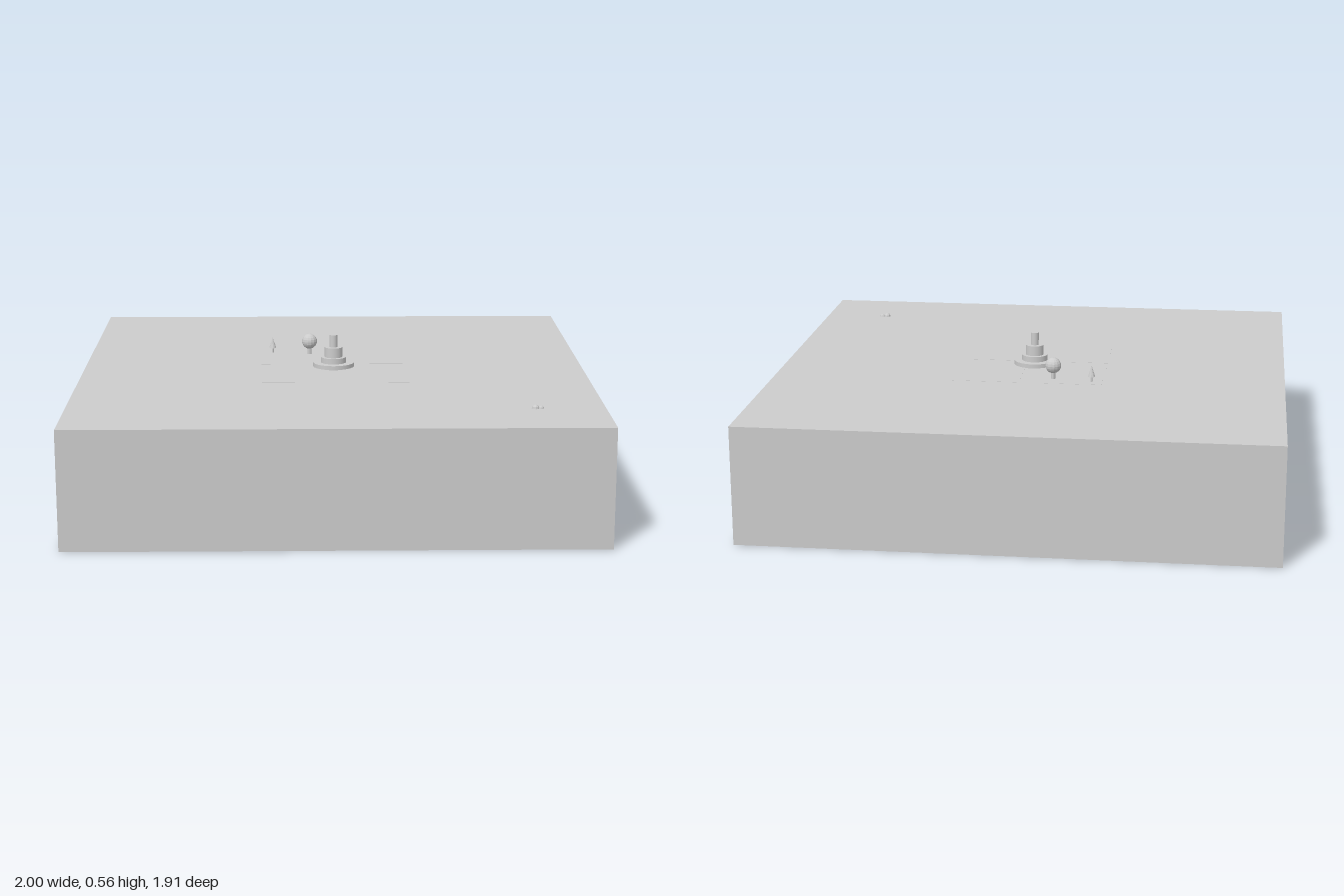
import * as THREE from 'three';

const CX = -0.045; // centre of the ground block
const TOP = 0.433; // ground level

export function createModel() {
  const root = new THREE.Group();
  const flat = new THREE.MeshStandardMaterial({ color: 0xcccccc, flatShading: true });
  const smooth = new THREE.MeshStandardMaterial({ color: 0xcccccc });

  const add = (name, geometry, x, y, z, material = flat, parent = root) => {
    const mesh = new THREE.Mesh(geometry, material);
    mesh.name = name;
    mesh.position.set(x, y, z);
    parent.add(mesh);
    return mesh;
  };

  // Ground block
  add('groundBlock', new THREE.BoxGeometry(1.91, TOP, 1.91), CX, TOP / 2, 0);

  // Four flush plots around the crossing paths
  for (const sx of [-1, 1]) for (const sz of [-1, 1]) {
    add('plot', new THREE.BoxGeometry(0.25, 0.01, 0.25), CX + sx * 0.155, TOP - 0.0045, sz * 0.155);
  }

  // Stepped round monument: radius, bottom, top
  const monument = new THREE.Group();
  monument.name = 'monument';
  root.add(monument);
  const tiers = [
    [0.079, TOP, 0.449],
    [0.049, 0.449, 0.47],
    [0.034, 0.47, 0.508],
    [0.015, 0.508, 0.556],
  ];
  for (const [r, y0, y1] of tiers) {
    add('monumentTier', new THREE.CylinderGeometry(r, r, y1 - y0, 32), CX, (y0 + y1) / 2, 0, smooth, monument);
  }

  // Round tree
  add('roundTreeTrunk', new THREE.CylinderGeometry(0.008, 0.008, 0.03, 8), -0.138, TOP + 0.015, -0.212);
  add('roundTreeCrown', new THREE.SphereGeometry(0.03, 14, 10), -0.138, 0.485, -0.212);

  // Pointed tree
  add('pointedTreeTrunk', new THREE.CylinderGeometry(0.004, 0.004, 0.025, 8), -0.284, TOP + 0.0125, -0.238);
  add('pointedTreeCrown', new THREE.ConeGeometry(0.014, 0.042, 10), -0.284, 0.474, -0.238);

  // Small pair of stones near the corner
  add('largeStone', new THREE.SphereGeometry(0.014, 8, 6), 0.66, TOP, 0.682);
  add('smallStone', new THREE.SphereGeometry(0.01, 8, 6), 0.68, TOP, 0.682);

  // Arched tunnel mouths on the left side, each with a pair of rails
  const archPath = (path, halfWidth, bottom, spring) => {
    path.moveTo(-halfWidth, bottom);
    path.lineTo(halfWidth, bottom);
    path.lineTo(halfWidth, spring);
    path.absarc(0, spring, halfWidth, 0, Math.PI, false);
    path.lineTo(-halfWidth, bottom);
    return path;
  };
  const archShape = archPath(new THREE.Shape(), 0.073, 0.138, 0.233);
  archShape.holes.push(archPath(new THREE.Path(), 0.064, 0.146, 0.233));
  const archGeometry = new THREE.ExtrudeGeometry(archShape, { depth: 0.05, bevelEnabled: false, curveSegments: 20 });
  archGeometry.rotateY(Math.PI / 2);
  for (const z of [0.108, -0.082]) {
    const tunnel = new THREE.Group();
    tunnel.name = 'tunnel';
    tunnel.position.z = z;
    root.add(tunnel);
    add('tunnelArch', archGeometry, 0.908, 0, 0, flat, tunnel);
    for (const side of [-1, 1]) {
      add('rail', new THREE.BoxGeometry(0.092, 0.006, 0.005), 0.954, 0.149, side * 0.025, flat, tunnel);
    }
  }
  return root;
}
